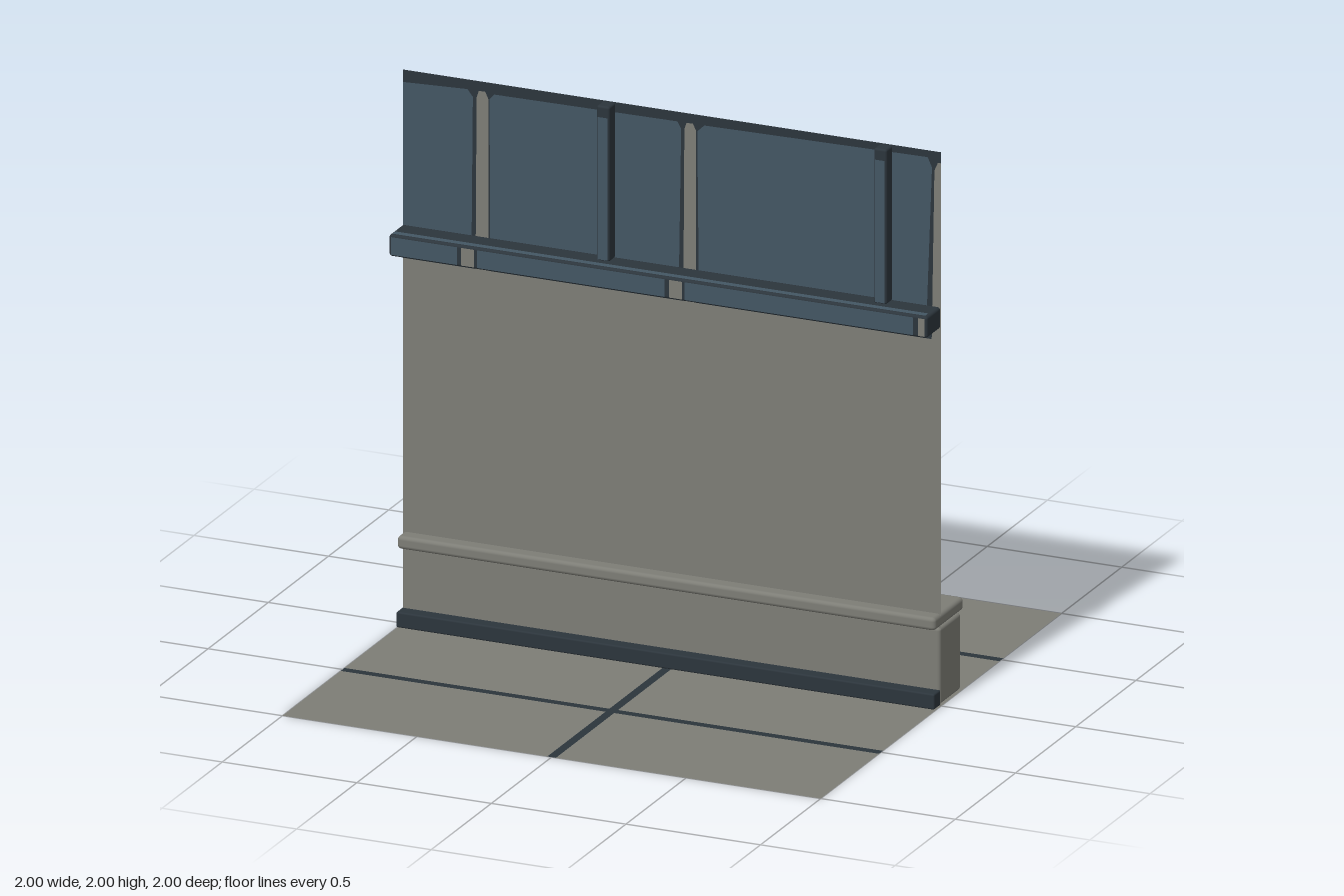
import * as THREE from 'three';
import { RoundedBoxGeometry } from 'three/addons/geometries/RoundedBoxGeometry.js';

const material = (name, color, side = THREE.FrontSide) => {
  const m = new THREE.MeshStandardMaterial({ color, side });
  m.name = name;
  return m;
};

export function createModel() {
  const model = new THREE.Group();
  model.name = 'wallSection';
  const stone = material('stoneGrey', 0x7d7d76, THREE.DoubleSide);
  const dark = material('darkTrim', 0x2c353c, THREE.DoubleSide);
  const glass = material('blueGlass', 0x435663, THREE.DoubleSide);

  const add = (parent, name, geometry, mat) => {
    const mesh = new THREE.Mesh(geometry, mat);
    mesh.name = name;
    parent.add(mesh);
    return mesh;
  };
  const group = (name) => {
    const g = new THREE.Group();
    g.name = name;
    model.add(g);
    return g;
  };
  // Softly rounded bar given by its limits on each axis
  const bar = (parent, name, [x0, x1], [y0, y1], [z0, z1], mat, r = 0.01) =>
    add(parent, name, new RoundedBoxGeometry(x1 - x0, y1 - y0, z1 - z0, 2, r), mat)
      .position.set((x0 + x1) / 2, (y0 + y1) / 2, (z0 + z1) / 2);
  // Flat upright or lying rectangle
  const upright = (parent, name, x0, x1, y0, y1, z, mat) =>
    add(parent, name, new THREE.PlaneGeometry(x1 - x0, y1 - y0), mat)
      .position.set((x0 + x1) / 2, (y0 + y1) / 2, z);
  const lying = (parent, name, x0, x1, z0, z1, y, mat) =>
    add(parent, name, new THREE.PlaneGeometry(x1 - x0, z1 - z0).rotateX(-Math.PI / 2), mat)
      .position.set((x0 + x1) / 2, y, (z0 + z1) / 2);
  const points = (list) => list.map(([x, y]) => new THREE.Vector2(x, y));

  // Floor: six slabs parted by dark joints
  const floor = group('floor');
  const j = 0.016;
  for (const [x0, x1] of [[-1, -j], [j, 1]]) {
    for (const [z0, z1] of [[-1, -0.5 - j], [-0.5 + j, 0.5 - j], [0.5 + j, 1]])
      lying(floor, 'floorSlab', x0, x1, z0, z1, 0, stone);
    for (const z of [-0.5, 0.5]) lying(floor, 'crossJoint', x0, x1, z - j, z + j, 0, dark);
  }
  lying(floor, 'longJoint', -j, j, -1, 1, 0, dark);

  // Wall sheet: its top edge rises into mullions that notch the dark frame
  const wall = group('wall');
  const sill = 1.32;
  const mullion = (x0, x1) => [
    [x0, sill], [x0 + 0.004, 1.94], [x0 + 0.012, 1.965],
    [x1 - 0.012, 1.965], [x1, 1.94], [x1, sill],
  ];
  const edge = [
    [-1, sill], ...mullion(-0.73, -0.682), ...mullion(0.042, 0.09),
    [0.965, sill], [0.975, 1.93], [0.988, 1.96], [1, 1.96],
  ];
  add(wall, 'wallFace', new THREE.ShapeGeometry(
    new THREE.Shape(points([...edge, [1, 0], [-1, 0]]))), stone);

  const panes = [
    [[-1, 1.375], [-0.76, 1.36], [-0.745, 1.38], [-0.74, 1.94], [-0.76, 1.965], [-0.999, 1.955]],
    [[-0.675, 1.35], [0.01, 1.34], [0.025, 1.36], [0.034, 1.94], [0.02, 1.965],
      [-0.66, 1.96], [-0.678, 1.94]],
    [[0.1, 1.35], [0.11, 1.34], [0.92, 1.35], [0.945, 1.37], [0.966, 1.94], [0.95, 1.975],
      [0.12, 1.965], [0.094, 1.94]],
  ];
  panes[0][0][0] = -0.999;
  const frame = new THREE.Shape(points([...edge, [1, 2], [-1, 2]]));
  for (const pane of panes) frame.holes.push(new THREE.Path(points(pane)));
  add(wall, 'windowFrame', new THREE.ShapeGeometry(frame), dark);
  for (const pane of panes)
    add(wall, 'windowPane', new THREE.ShapeGeometry(new THREE.Shape(points(pane))), glass);

  // Rail under the windows, with the window pattern carried across its front
  const rail = group('rail');
  bar(rail, 'railBar', [-1, 1], [1.365, 1.443], [0.002, 0.118], dark);
  for (const [x0, x1] of [[-0.99, -0.745], [-0.67, 0.025], [0.1, 0.95]])
    upright(rail, 'railGlass', x0, x1, 1.372, 1.436, 0.12, glass);
  for (const [x0, x1] of [[-0.73, -0.682], [0.042, 0.09], [0.967, 0.992]])
    upright(rail, 'railMullion', x0, x1, 1.372, 1.436, 0.12, stone);
  lying(rail, 'railTopStrip', -0.99, 0.99, 0.085, 0.11, 1.445, glass);

  // Window posts
  const posts = group('posts');
  for (const x of [-0.232, 0.798]) {
    bar(posts, 'post', [x - 0.024, x + 0.024], [1.44, 2], [0.002, 0.056], dark, 0.008);
    upright(posts, 'postFace', x - 0.018, x + 0.018, 1.446, 1.96, 0.058, glass);
  }

  // Low ledge behind the wall, its cap and the dark skirting
  const ledge = group('ledge');
  bar(ledge, 'ledgeBody', [-1, 1], [0.005, 0.283], [-0.166, 0.01], stone, 0.012);
  bar(ledge, 'ledgeCap', [-1, 1], [0.285, 0.332], [-0.19, 0.052], stone, 0.014);
  bar(ledge, 'skirting', [-1, 1], [0.004, 0.06], [0.004, 0.058], dark, 0.006);

  return model;
}
